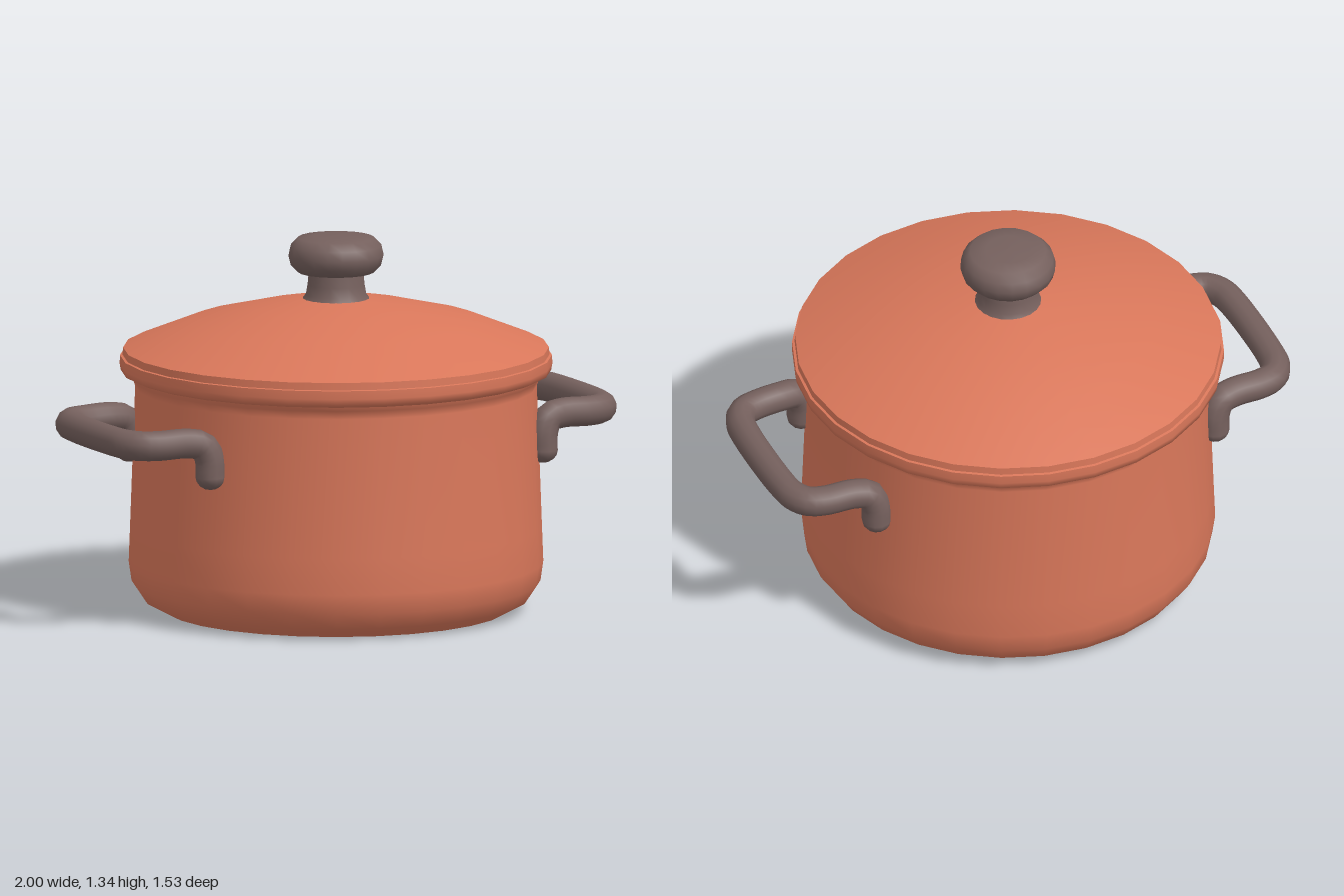
import * as THREE from 'three';

const clay = new THREE.MeshStandardMaterial({ color: 0xd9775a });
clay.name = 'terracotta';
const grip = new THREE.MeshStandardMaterial({ color: 0x75605d });
grip.name = 'warm grey';

// Each profile runs upwards on the outside; separate bands keep a sharp edge between them
function turned(name, material, bands, segments) {
  const part = new THREE.Group();
  part.name = name;
  bands.forEach((band, i) => {
    const points = band.map(([r, y]) => new THREE.Vector2(r, y));
    const mesh = new THREE.Mesh(new THREE.LatheGeometry(points, segments), material);
    mesh.name = `${name}Band${i + 1}`;
    part.add(mesh);
  });
  return part;
}

// Looped side handle with rounded feet resting on the pot wall
function makeHandle(name, side) {
  const handle = new THREE.Group();
  handle.name = name;
  const half = [
    [0.655, 0.57, 0.33], [0.657, 0.635, 0.328], [0.68, 0.682, 0.322], [0.74, 0.695, 0.312],
    [0.84, 0.693, 0.305], [0.9, 0.693, 0.285], [0.933, 0.693, 0.235], [0.945, 0.693, 0.16],
  ];
  const mirrored = half.map(([x, y, z]) => [x, y, -z]).reverse();
  const path = [...half, ...mirrored].map(([x, y, z]) => new THREE.Vector3(side * x, y, z));
  const bar = new THREE.Mesh(
    new THREE.TubeGeometry(new THREE.CatmullRomCurve3(path), 56, 0.053, 12), grip);
  bar.name = 'handleBar';
  handle.add(bar);
  for (const end of [path[0], path[path.length - 1]]) {
    const foot = new THREE.Mesh(new THREE.SphereGeometry(0.053, 12, 8), grip);
    foot.name = 'handleFoot';
    foot.scale.y = 0.85;
    foot.position.copy(end);
    handle.add(foot);
  }
  return handle;
}

export function createModel() {
  const model = new THREE.Group();
  model.name = 'cookingPot';

  // Pot: flat base, rounded lower edge, slightly tapering wall and flared rim
  model.add(turned('pot', clay, [
    [[0, 0], [0.61, 0]],
    [[0.61, 0], [0.685, 0.04], [0.725, 0.1], [0.735, 0.17], [0.73, 0.3], [0.712, 0.8],
      [0.722, 0.83], [0.738, 0.845], [0.74, 0.87]],
  ], 28));

  // Lid: overhanging edge, stepped lip and shallow dome
  model.add(turned('lid', clay, [
    [[0.7, 0.842], [0.735, 0.845], [0.763, 0.857], [0.767, 0.88], [0.766, 0.91]],
    [[0.766, 0.91], [0.757, 0.912]],
    [[0.757, 0.912], [0.755, 0.938]],
    [[0.755, 0.938], [0.52, 1.032], [0.3, 1.085], [0.11, 1.117], [0, 1.12]],
  ], 28));

  // Knob: waisted stem and flattened round head
  model.add(turned('knob', grip, [
    [[0.122, 1.11], [0.108, 1.13], [0.102, 1.165], [0.098, 1.21]],
    [[0.09, 1.205], [0.135, 1.21], [0.162, 1.238], [0.17, 1.27], [0.162, 1.305],
      [0.135, 1.333], [0.08, 1.34], [0, 1.342]],
  ], 20));

  model.add(makeHandle('leftHandle', 1), makeHandle('rightHandle', -1));
  return model;
}
